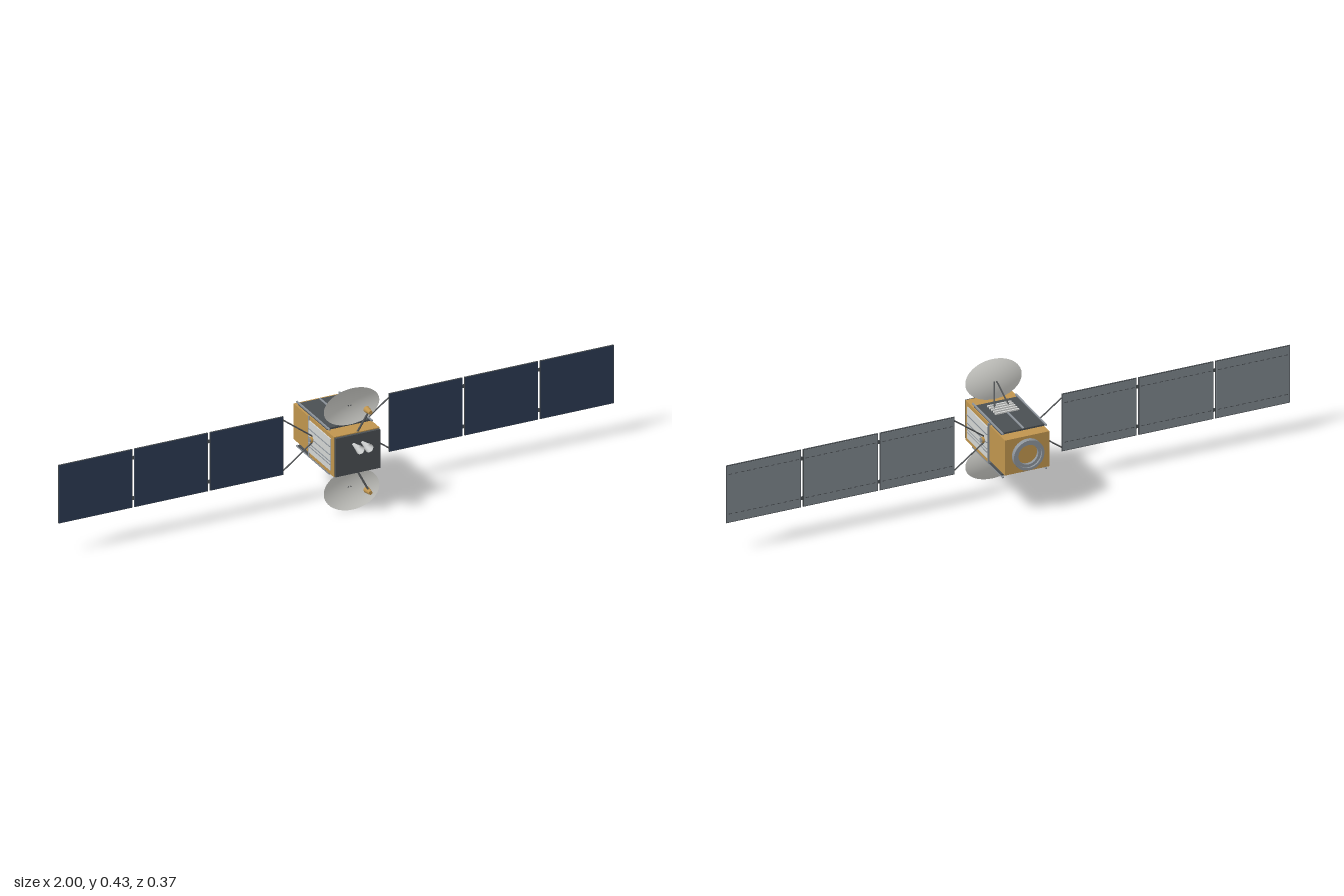
import * as THREE from 'three';

const CY = 0.22; // height of the long axis of the craft
const WING_Z = -0.021;

const mat = (name, color, side = THREE.FrontSide) => {
  const m = new THREE.MeshStandardMaterial({ color, side });
  m.name = name;
  return m;
};

export function createModel() {
  const gold = mat('gold foil', 0xc0954e);
  const charcoal = mat('charcoal', 0x4a4f53);
  const silver = mat('silver', 0xd4d6d4);
  const grey = mat('grey metal', 0x8d949b);
  const navy = mat('solar navy', 0x2b3b54);
  const backing = mat('panel backing', 0x7d858b);
  const dishMat = mat('dish white', 0xd6d6d1, THREE.DoubleSide);
  const strutMat = mat('strut grey', 0x55585a);
  const nozzleMat = mat('nozzle silver', 0xc6c8c8, THREE.DoubleSide);

  const model = new THREE.Group();
  model.name = 'satellite';
  const craft = new THREE.Group(); // everything is placed relative to the long axis
  craft.name = 'craft';
  craft.position.y = CY;
  model.add(craft);

  const add = (name, geo, material, x = 0, y = 0, z = 0, parent = craft) => {
    const mesh = new THREE.Mesh(geo, material);
    mesh.name = name;
    mesh.position.set(x, y, z);
    parent.add(mesh);
    return mesh;
  };
  const box = (name, w, h, d, material, x, y, z, parent) =>
    add(name, new THREE.BoxGeometry(w, h, d), material, x, y, z, parent);
  // round rod between two points
  const rod = (name, a, b, r, material, parent = craft) => {
    const p = new THREE.Vector3(...a), q = new THREE.Vector3(...b);
    const dir = q.clone().sub(p);
    const mesh = add(name, new THREE.CylinderGeometry(r, r, dir.length(), 10), material, 0, 0, 0, parent);
    mesh.position.copy(p).add(q).multiplyScalar(0.5);
    mesh.quaternion.setFromUnitVectors(new THREE.Vector3(0, 1, 0), dir.normalize());
    return mesh;
  };
  const lathe = (pts, segments) =>
    new THREE.LatheGeometry(pts.map(([r, y]) => new THREE.Vector2(r, y)), segments).rotateX(Math.PI / 2);

  // Body
  box('frontBody', 0.164, 0.143, 0.178, gold, 0, 0, 0.039);
  box('rearBody', 0.158, 0.127, 0.118, gold, 0, 0.001, -0.109);
  box('middleFrame', 0.17, 0.144, 0.006, grey, 0, 0, -0.049);
  box('frontPlate', 0.16, 0.137, 0.009, charcoal, 0, 0, 0.1325);

  // Docking ring at the rear
  const ring = new THREE.Group();
  ring.name = 'rearRing';
  ring.position.set(0, 0.001, -0.168);
  craft.add(ring);
  const tube = (name, outer, inner, depth, material) => {
    const s = new THREE.Shape().absarc(0, 0, outer, 0, Math.PI * 2);
    s.holes.push(new THREE.Path().absarc(0, 0, inner, 0, Math.PI * 2, true));
    const g = new THREE.ExtrudeGeometry(s, { depth, bevelEnabled: false, curveSegments: 32 });
    add(name, g, material, 0, 0, -depth, ring);
  };
  tube('outerRing', 0.054, 0.045, 0.016, grey);
  tube('innerRing', 0.045, 0.035, 0.01, grey);

  // Pair of thrusters on the front plate
  for (const x of [-0.016, 0.016]) {
    const pts = [[0.005, 0], [0.007, 0.014], [0.011, 0.034], [0.0145, 0.049]];
    add('thrusterNozzle', lathe(pts, 24), nozzleMat, x, 0.036, 0.137);
  }

  // Side radiators, wing hubs, yokes and solar wings
  const panelW = 0.265, panelH = 0.208, pitch = 0.272;
  for (const s of [-1, 1]) {
    box('sideRadiator', 0.004, 0.113, 0.154, silver, s * 0.084, 0.001, 0.031);
    for (const y of [-0.033, -0.022, 0.001, 0.03])
      box('radiatorPipe', 0.003, 0.0025, 0.154, grey, s * 0.0865, y, 0.031);

    const hub = add('wingHub', new THREE.CylinderGeometry(0.01, 0.01, 0.014, 20), gold, s * 0.087, 0, WING_Z);
    hub.rotation.z = Math.PI / 2;
    const cap = add('hubCap', new THREE.CylinderGeometry(0.008, 0.008, 0.003, 20), grey, s * 0.0955, 0, WING_Z);
    cap.rotation.z = Math.PI / 2;

    const wing = new THREE.Group();
    wing.name = s > 0 ? 'leftWing' : 'rightWing';
    wing.position.set(0, 0.0015, WING_Z);
    craft.add(wing);
    for (const t of [-1, 1])
      rod('yokeArm', [s * 0.084, t * 0.01, 0], [s * 0.19, t * 0.09, 0], 0.0025, strutMat, wing);

    for (let i = 0; i < 3; i++) {
      const x = s * (0.3225 + i * pitch);
      box('panelCore', panelW, panelH, 0.004, charcoal, x, 0, 0, wing);
      box('solarCells', panelW - 0.003, panelH - 0.003, 0.001, navy, x, 0, 0.0023, wing);
      box('panelBack', panelW - 0.005, panelH - 0.005, 0.001, backing, x, 0, -0.0023, wing);
      for (const t of [-1, 1]) {
        // dashed seams on the back of the panel
        for (let k = 0; k < 12; k++)
          box('backSeam', 0.012, 0.0025, 0.0008, charcoal, x + (k - 5.5) * 0.0215, t * 0.072, -0.003, wing);
        if (i < 2) box('panelHinge', 0.01, 0.012, 0.003, charcoal, x + s * pitch / 2, t * 0.072, -0.001, wing);
      }
    }
  }

  // Top and bottom decks, each with a dish antenna and feed horn
  for (const s of [1, -1]) {
    const deck = new THREE.Group();
    deck.name = s > 0 ? 'topDeck' : 'bottomDeck';
    craft.add(deck);
    box('deckPlate', 0.156, 0.006, 0.21, charcoal, 0, s * 0.0745, -0.034, deck);
    for (const x of [-0.0765, 0.0765])
      box('deckRail', 0.005, 0.005, 0.236, grey, x, s * 0.0785, -0.032, deck);
    box('rearStripe', 0.006, 0.003, 0.12, grey, 0, s * 0.0785, -0.079, deck);
    for (let i = 0; i < 5; i++)
      box('deckBar', 0.085, 0.006, 0.006, silver, 0, s * 0.0795, 0.044 - i * 0.0145, deck);

    // elliptical dish, slightly tilted towards the horn
    const profile = [];
    for (let i = 0; i <= 10; i++) profile.push([i / 10, 0.014 * (i / 10) ** 2]);
    const dishGeo = lathe(profile, 48).scale(0.1, 0.069, 1);
    const dish = add('dish', dishGeo, dishMat, 0, s * 0.15, 0.0765, deck);
    dish.rotation.x = s * 0.124;
    for (const x of [-0.026, 0.026])
      rod('dishStrut', [x, s * 0.076, 0.026], [x * 0.15, s * 0.147, 0.076], 0.0025, strutMat, deck);

    // feed horn on its arm
    rod('hornArm', [0.004, s * 0.068, 0.122], [0.037, s * 0.137, 0.136], 0.0035, strutMat, deck);
    const horn = add('feedHorn', new THREE.CylinderGeometry(0.0065, 0.011, 0.03, 20), gold,
      0.038, s * 0.143, 0.137, deck);
    horn.rotation.x = Math.PI / 2;
  }

  return model;
}
